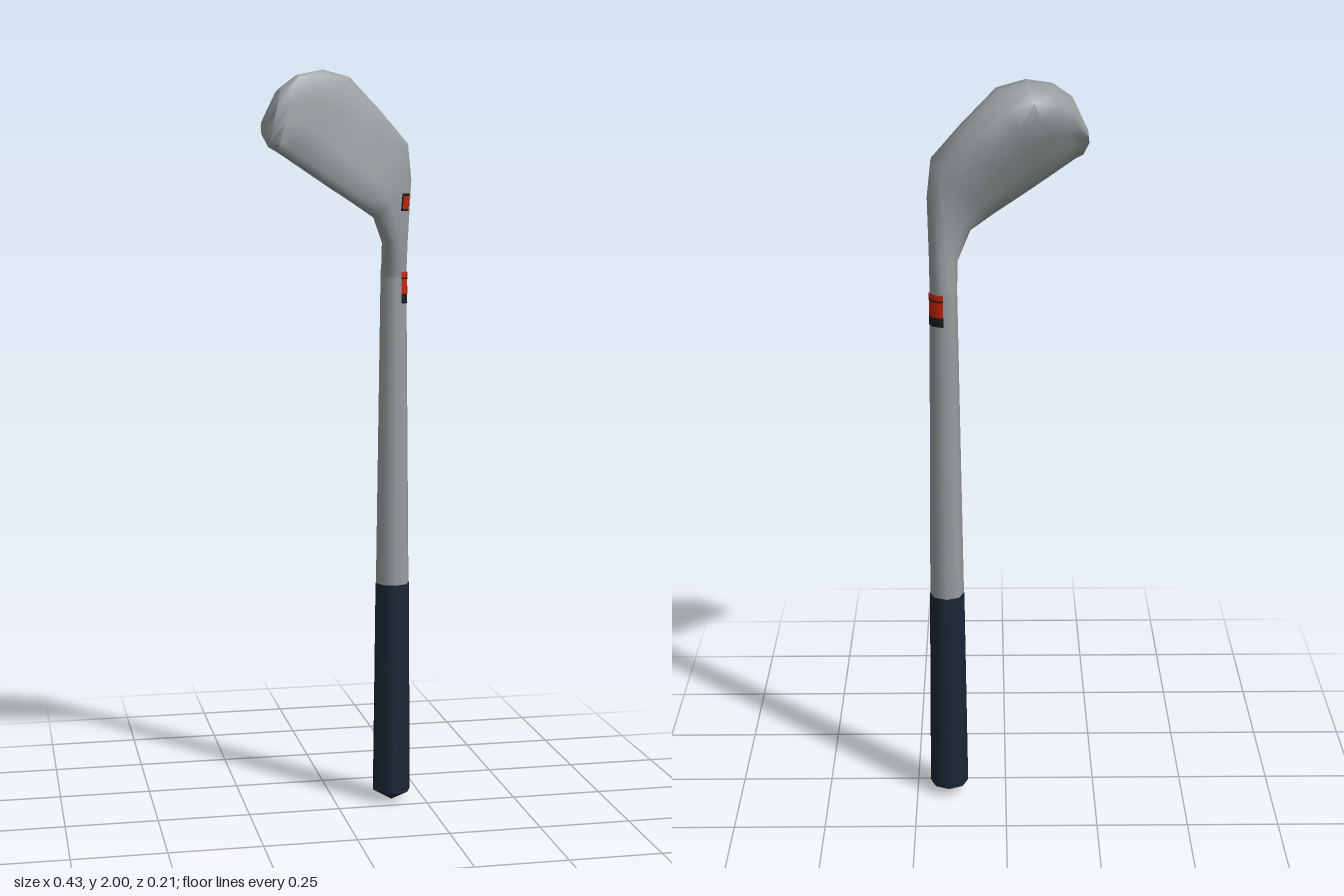
import * as THREE from 'three';
import { toCreasedNormals } from 'three/addons/utils/BufferGeometryUtils.js';

const material = (name, color) => {
  const m = new THREE.MeshStandardMaterial({ color });
  m.name = name;
  return m;
};

// Cross-section outline as [across, depth]: flat face with a soft rim, deep crown, undercut back
const HEAD = [[0.015, 0.08], [0.08, 0.01], [0.37, 0], [0.63, 0], [0.93, 0.01], [0.99, 0.08], [0.99, 0.45],
  [0.94, 0.78], [0.82, 0.97], [0.62, 0.94], [0.4, 0.72], [0.2, 0.5], [0.06, 0.34], [0, 0.2]];

// Stations from neck to toe: sole x, y, crown x, y, front z at sole and crown, back z, roundness blend
const STATIONS = [
  [0.125, 1.46, 0.195, 1.46, -0.02, -0.02, -0.088, 0],
  [0.123, 1.55, 0.196, 1.56, 0.014, -0.012, -0.087, 0.2],
  [0.09, 1.62, 0.2, 1.72, 0.053, 0.002, -0.09, 0.65],
  [0.03, 1.658, 0.19, 1.815, 0.066, -0.002, -0.1, 0.92],
  [-0.05, 1.708, 0.115, 1.897, 0.08, 0.01, -0.106, 1],
  [-0.12, 1.753, 0.025, 1.986, 0.096, 0.03, -0.104, 1],
  [-0.16, 1.778, -0.05, 2.003, 0.108, 0.05, -0.09, 1],
  [-0.182, 1.791, -0.118, 1.988, 0.111, 0.078, -0.058, 1],
  [-0.2, 1.802, -0.17, 1.95, 0.09, 0.094, -0.015, 1],
  [-0.214, 1.835, -0.21, 1.87, 0.058, 0.056, 0.022, 1],
];

function headGeometry() {
  const lerp = THREE.MathUtils.lerp;
  const n = HEAD.length;
  const pos = [];
  const index = [];
  for (const [bx, by, tx, ty, zb, zt, back, k] of STATIONS) {
    HEAD.forEach(([hu, hw], i) => {
      const a = ((i + 1) * Math.PI * 2) / n;
      const u = lerp(0.5 - 0.5 * Math.cos(a), hu, k);
      const w = lerp(0.5 - 0.5 * Math.sin(a), hw, k);
      pos.push(lerp(bx, tx, u), lerp(by, ty, u), lerp(lerp(zb, zt, u), back, w));
    });
  }
  for (let s = 0; s < STATIONS.length - 1; s++) {
    for (let i = 0; i < n; i++) {
      const a = s * n + i, b = s * n + ((i + 1) % n);
      index.push(a, b, a + n, b, b + n, a + n);
    }
  }
  // Toe cap
  const last = (STATIONS.length - 1) * n;
  for (let i = 1; i < n - 1; i++) index.push(last, last + i, last + i + 1);
  const g = new THREE.BufferGeometry();
  g.setAttribute('position', new THREE.Float32BufferAttribute(pos, 3));
  g.setIndex(index);
  return toCreasedNormals(g, 0.9);
}

export function createModel() {
  const group = new THREE.Group();
  const steel = material('steel', 0x989d9f);
  const navy = material('navy grip', 0x1b2737);
  const red = material('red paint', 0xc82408);
  const black = material('black paint', 0x1a1c1e);

  const add = (name, geometry, mat, x = 0, y = 0, z = 0) => {
    const mesh = new THREE.Mesh(geometry, mat);
    mesh.name = name;
    mesh.position.set(x, y, z);
    group.add(mesh);
    return mesh;
  };
  const SX = 0.16, SZ = -0.055;

  // Shaft and grip
  add('shaft', new THREE.CylinderGeometry(0.0355, 0.046, 0.86, 8, 1, true), steel, SX, 1.05, SZ);
  add('grip', new THREE.CylinderGeometry(0.047, 0.053, 0.59, 8), navy, SX, 0.325, SZ);
  add('gripCap', new THREE.ConeGeometry(0.053, 0.03, 8, 1, true).rotateX(Math.PI), navy, SX, 0.015, SZ);

  // Club head with its neck
  const head = add('clubHead', headGeometry(), steel);

  // Painted bands around one side of the upper shaft
  const band = (name, y0, y1, mat) => add(name, new THREE.CylinderGeometry(
    0.0375, 0.038, y1 - y0, 7, 1, true, Math.PI / 8, Math.PI * 7 / 8), mat, SX, (y0 + y1) / 2, SZ);
  band('lowerBlackBand', 1.39, 1.415, black);
  band('redBand', 1.415, 1.455, red);
  band('thinBlackBand', 1.455, 1.46, black);
  band('upperRedBand', 1.46, 1.475, red);

  // Painted spot laid on the heel of the face
  const ray = new THREE.Raycaster(new THREE.Vector3(0.177, 1.66, 1), new THREE.Vector3(0, 0, -1));
  head.updateMatrixWorld();
  const hit = ray.intersectObject(head)[0];
  const spot = (name, w, h, lift, mat) => {
    const m = add(name, new THREE.BoxGeometry(w, h, 0.004), mat);
    m.position.copy(hit.point).addScaledVector(hit.face.normal, lift);
    m.lookAt(m.position.clone().add(hit.face.normal));
  };
  spot('spotBorder', 0.026, 0.045, 0.001, black);
  spot('spot', 0.022, 0.034, 0.002, red);
  return group;
}
